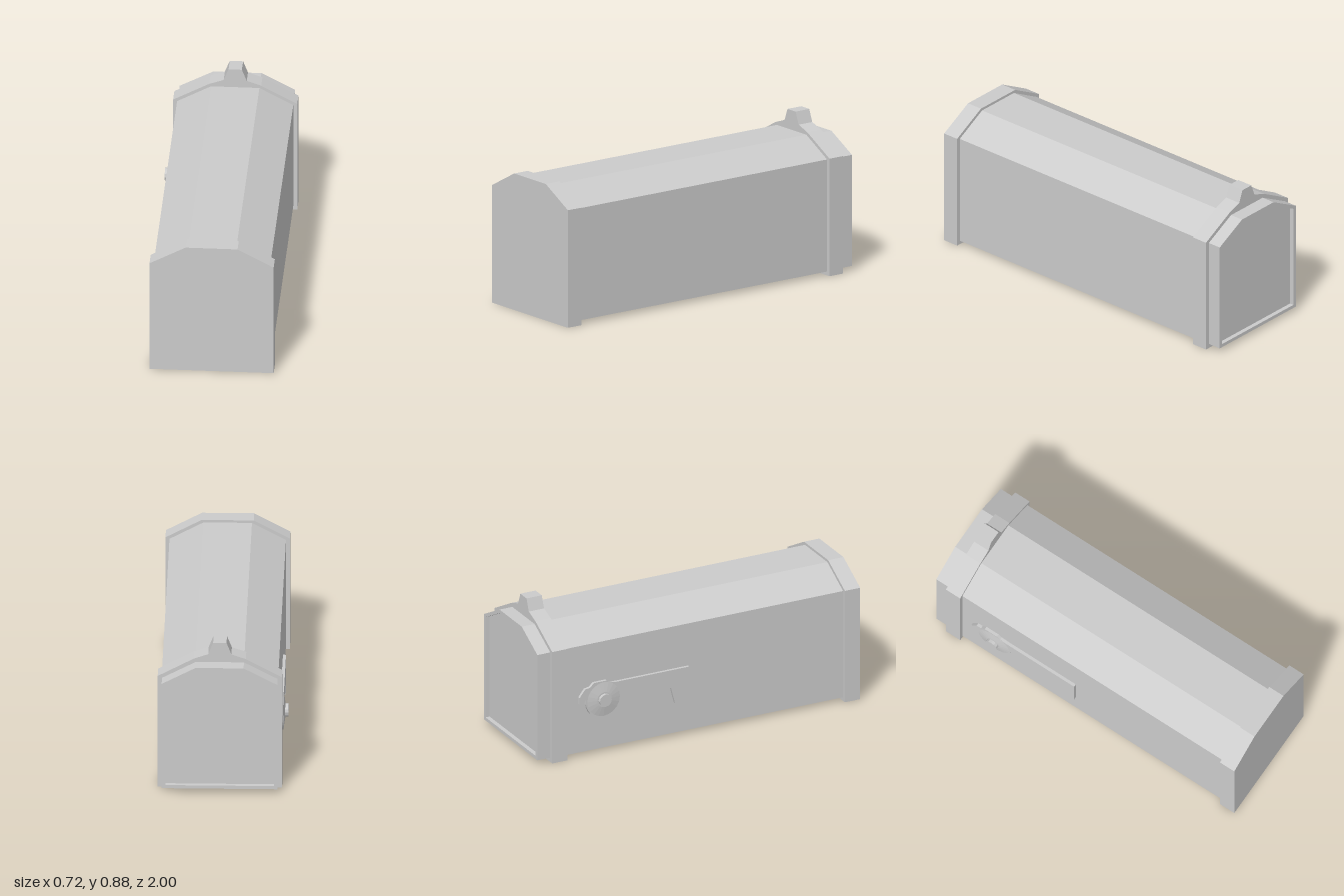
import * as THREE from 'three';

const CX = 0.0135; // middle of the box across its width

const material = new THREE.MeshStandardMaterial({ color: 0xcccccc, flatShading: true });

// Box outline with a chamfered roof, optionally with a handle on top
function outline(halfWidth, bottom, shoulder, top, halfRoof, handle = []) {
  return [
    [-halfWidth, bottom], [halfWidth, bottom], [halfWidth, shoulder], [halfRoof, top],
    ...handle,
    [-halfRoof, top], [-halfWidth, shoulder],
  ].map(([x, y]) => new THREE.Vector2(x + CX, y));
}

function extrude(name, shape, depth) {
  const geometry = new THREE.ExtrudeGeometry(shape, { depth, bevelEnabled: false, curveSegments: 10 });
  const mesh = new THREE.Mesh(geometry, material);
  mesh.name = name;
  return mesh;
}

// Extrude an outline between two z positions
function section(name, points, z0, z1, hole) {
  const shape = new THREE.Shape(points);
  if (hole) shape.holes.push(new THREE.Path(hole));
  const mesh = extrude(name, shape, z1 - z0);
  mesh.position.z = z0;
  return mesh;
}

// Round part with its axis pointing outward along -x
function disc(name, rOuter, rInner, xInner, xOuter, y, z, sides) {
  const geometry = new THREE.CylinderGeometry(rOuter, rInner, xInner - xOuter, sides);
  geometry.rotateZ(Math.PI / 2);
  const mesh = new THREE.Mesh(geometry, material);
  mesh.name = name;
  mesh.position.set((xInner + xOuter) / 2, y, z);
  return mesh;
}

function createFlag() {
  const flag = new THREE.Group();
  flag.name = 'signalFlag';
  const y = 0.325, z = -0.6;

  // Plate drawn around the pivot: arm, drop at its end, round base and back hook
  const shape = new THREE.Shape();
  shape.moveTo(0.08, 0.088);
  shape.lineTo(0.04, 0.092);
  shape.lineTo(0.02, 0.108);
  shape.lineTo(-0.06, 0.108);
  shape.lineTo(-0.085, 0.085);
  shape.lineTo(-0.115, 0.08);
  shape.lineTo(-0.15, 0.035);
  shape.lineTo(-0.15, -0.005);
  shape.lineTo(-0.122, -0.005);
  shape.lineTo(-0.11, 0.02);
  shape.lineTo(-0.11, -0.015);
  shape.absarc(0, 0, 0.11, Math.PI + 0.14, Math.PI * 2 - 0.1, false);
  shape.lineTo(0.42, -0.018);
  shape.lineTo(0.445, -0.115);
  shape.lineTo(0.535, -0.115);
  shape.lineTo(0.535, 0.088);
  shape.closePath();
  const plate = extrude('flagPlate', shape, 0.017);
  plate.rotation.y = -Math.PI / 2;
  plate.position.set(-0.315, y, z);

  flag.add(
    plate,
    disc('flagBoss', 0.045, 0.108, -0.331, -0.341, y, z, 20),
    disc('flagPivot', 0.037, 0.037, -0.31, -0.359, y, z, 12),
  );
  return flag;
}

export function createModel() {
  const model = new THREE.Group();
  model.name = 'mailbox';

  const body = outline(0.322, 0.022, 0.663, 0.765, 0.134);
  const cap = outline(0.344, 0, 0.672, 0.78, 0.144);
  const rim = outline(0.32, 0.026, 0.661, 0.76, 0.133);
  const panel = outline(0.3, 0.045, 0.65, 0.742, 0.127);
  const band = outline(0.344, 0, 0.672, 0.78, 0.144,
    [[0.064, 0.808], [0.037, 0.877], [-0.037, 0.877], [-0.064, 0.808]]);

  model.add(
    section('body', body, -0.88, 0.95),
    section('frontCap', cap, 0.905, 1),
    section('handleBand', band, -0.92, -0.825),
    section('backRim', rim, -1, -0.9, panel), // open frame around the recessed panel
    section('backPanel', panel, -0.975, -0.9),
    createFlag(),
  );
  return model;
}
